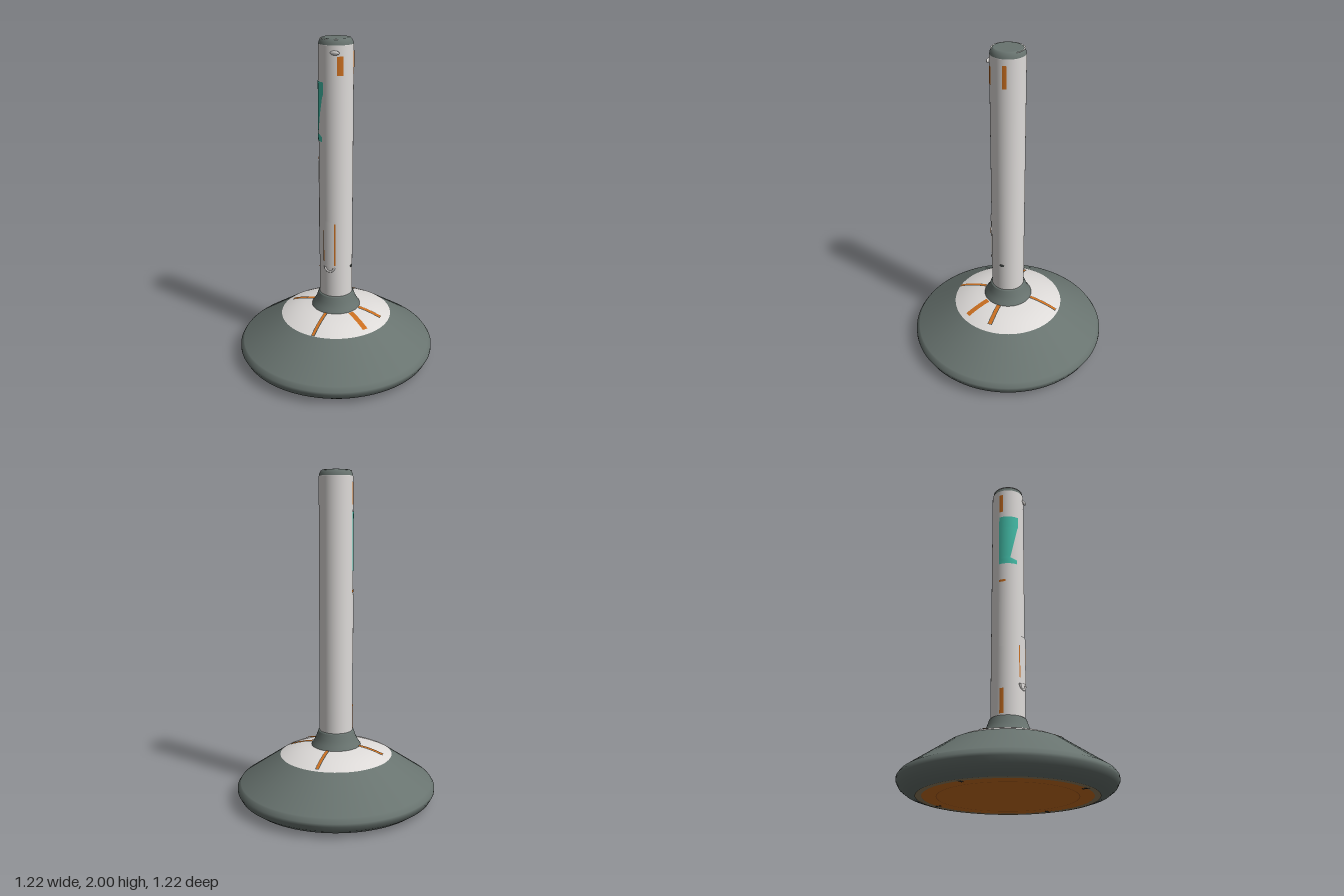
import * as THREE from 'three';

const mat = (name, color, side = THREE.FrontSide) => {
  const m = new THREE.MeshStandardMaterial({ color, side });
  m.name = name;
  return m;
};

export function createModel() {
  const group = new THREE.Group();
  const D = THREE.DoubleSide;
  const slate = mat('slate grey', 0x68736f);
  const white = mat('warm white', 0xdedbd9, D);
  const orange = mat('orange', 0xcb6f20, D);
  const teal = mat('teal', 0x45c0ab, D);
  const dark = mat('dark grey', 0x454b49, D);
  const tan = mat('tan', 0x94805f, D);
  const brown = mat('brown', 0xa3581c, D);

  const add = (name, geometry, material) => {
    const mesh = new THREE.Mesh(geometry, material);
    mesh.name = name;
    group.add(mesh);
    return mesh;
  };
  const lathe = (name, pts, material) =>
    add(name, new THREE.LatheGeometry(pts.map(p => new THREE.Vector2(...p)), 80), material);

  // Weighted base, pale cone, collar, tube and cap
  lathe('base', [[0.47, 0], [0.52, 0.002], [0.56, 0.016], [0.595, 0.042], [0.612, 0.075], [0.611, 0.092],
    [0.597, 0.113], [0.59, 0.118], [0.345, 0.284], [0.34, 0.286]], slate);
  const cone = [[0.345, 0.284], [0.30, 0.305], [0.25, 0.322], [0.20, 0.335], [0.14, 0.345]];
  lathe('baseCone', cone, white);
  lathe('collar', [[0.152, 0.34], [0.15, 0.347], [0.136, 0.367], [0.122, 0.395], [0.11, 0.43], [0.107, 0.437],
    [0.097, 0.438]], slate);
  lathe('tube', [[0.101, 0.42], [0.101, 1.962], [0.0995, 1.966]], white);
  lathe('cap', [[0.1, 1.965], [0.097, 1.978], [0.09, 1.992], [0.082, 1.9985], [0.078, 2], [0, 2]], slate);
  const capRing = add('capRing', new THREE.RingGeometry(0.086, 0.094, 48, 1, 0.9, 4.4), white);
  capRing.geometry.rotateX(-Math.PI / 2);
  capRing.position.y = 1.995;

  // Height of the pale cone at a given radius
  const coneY = r => {
    for (let i = 1; i < cone.length; i++) {
      const [ra, ya] = cone[i - 1], [rb, yb] = cone[i];
      if (r >= rb) return ya + (yb - ya) * (ra - r) / (ra - rb);
    }
    return 0.345;
  };
  // Thin radial strip lying on the cone; angle is measured from +x towards +z
  const strip = (name, r0, r1, width, angle, material, lift) => {
    const g = new THREE.PlaneGeometry(1, 1, 12, 2);
    const p = g.attributes.position;
    for (let i = 0; i < p.count; i++) {
      const r = r0 + (p.getX(i) + 0.5) * (r1 - r0), w = -p.getY(i) * width;
      p.setXYZ(i, r * Math.cos(angle) - w * Math.sin(angle), coneY(Math.hypot(r, w)) + lift,
        r * Math.sin(angle) + w * Math.cos(angle));
    }
    g.computeVertexNormals();
    add(name, g, material);
  };
  [[0.155, 0.3, 0.022], [0.155, 0.343, 0.016], [0.15, 0.3, 0.022], [0.155, 0.33, 0.016]].forEach(([a, b, w], i) => {
    const angle = i * Math.PI / 2;
    strip('grooveShadow', a, b + 0.002, w + 0.008, angle, dark, 0.002);
    strip('grooveStripe', a, b, w, angle, orange, 0.004);
  });
  strip('diagonalStripe', 0.16, 0.315, 0.034, 0.56, orange, 0.003);

  // Thin patch wrapped on the tube; degrees from the front (+z) towards +x,
  // with an optional rule for the right edge by height fraction
  const patch = (name, y0, y1, d0, d1, material, lift = 0.002, edge = () => d1) => {
    const g = new THREE.PlaneGeometry(1, 1, 8, 24);
    const p = g.attributes.position;
    for (let i = 0; i < p.count; i++) {
      const v = p.getY(i) + 0.5;
      const a = THREE.MathUtils.degToRad(d0 + (p.getX(i) + 0.5) * (edge(v) - d0));
      const r = 0.101 + lift;
      p.setXYZ(i, r * Math.sin(a), y0 + v * (y1 - y0), r * Math.cos(a));
    }
    g.computeVertexNormals();
    add(name, g, material);
  };
  const tealEdge = v => v > 0.78 ? -21 : v > 0.12 ? -52 + 28 * (v - 0.12) / 0.66 : -28;
  patch('tealLabel', 1.415, 1.76, -92, -20, teal, 0.003, tealEdge);

  // Orange marks around the tube
  patch('upperMarkFront', 1.80, 1.905, 27, 48, orange);
  patch('upperMarkLeft', 1.80, 1.93, 94, 108, orange);
  patch('upperMarkRight', 1.80, 1.93, -92, -78, orange);
  patch('lowerMarkRight', 0.45, 0.6, -88, -74, orange);
  patch('recessMark', 1.29, 1.305, -92, -68, orange);
  patch('recessPanel', 0.86, 1.28, -90, -72, white, 0.003);

  // Raised slider plate on the front, edged in orange
  patch('sliderPlate', 0.64, 0.935, -20, 20, white, 0.005);
  patch('sliderLineRight', 0.67, 0.87, -22, -18, orange, 0.006);
  patch('sliderLineLeft', 0.65, 0.92, 18, 22, orange, 0.006);
  const knob = add('sliderKnob', new THREE.TorusGeometry(0.03, 0.007, 8, 24, Math.PI), white);
  knob.rotation.z = Math.PI;
  knob.position.set(0, 0.635, 0.098);
  const latch = add('topLatch', new THREE.SphereGeometry(0.016, 16, 10), white);
  latch.scale.set(1.8, 0.8, 0.6);
  latch.position.set(0.035, 1.925, 0.097);
  const hole = add('sideHole', new THREE.SphereGeometry(0.016, 16, 10), dark);
  hole.scale.set(0.25, 0.5, 1);
  hole.position.set(0.101, 0.622, 0);

  // Underside: rim, orange plate, seam and four notches
  const under = (name, r0, r1, y, material) => {
    const g = new THREE.RingGeometry(r0, r1, 72);
    g.rotateX(Math.PI / 2);
    add(name, g, material).position.y = y;
  };
  under('undersidePlate', 0, 0.47, 0, orange);
  under('undersideRim', 0.47, 0.505, -0.001, tan);
  under('undersideSeam', 0.387, 0.392, -0.001, brown);
  for (let i = 0; i < 4; i++) {
    const a = i * Math.PI / 2;
    const notch = add('undersideNotch', new THREE.BoxGeometry(0.04, 0.004, 0.014), dark);
    notch.position.set(0.465 * Math.cos(a), 0, 0.465 * Math.sin(a));
    notch.rotation.y = -a;
  }
  return group;
}
